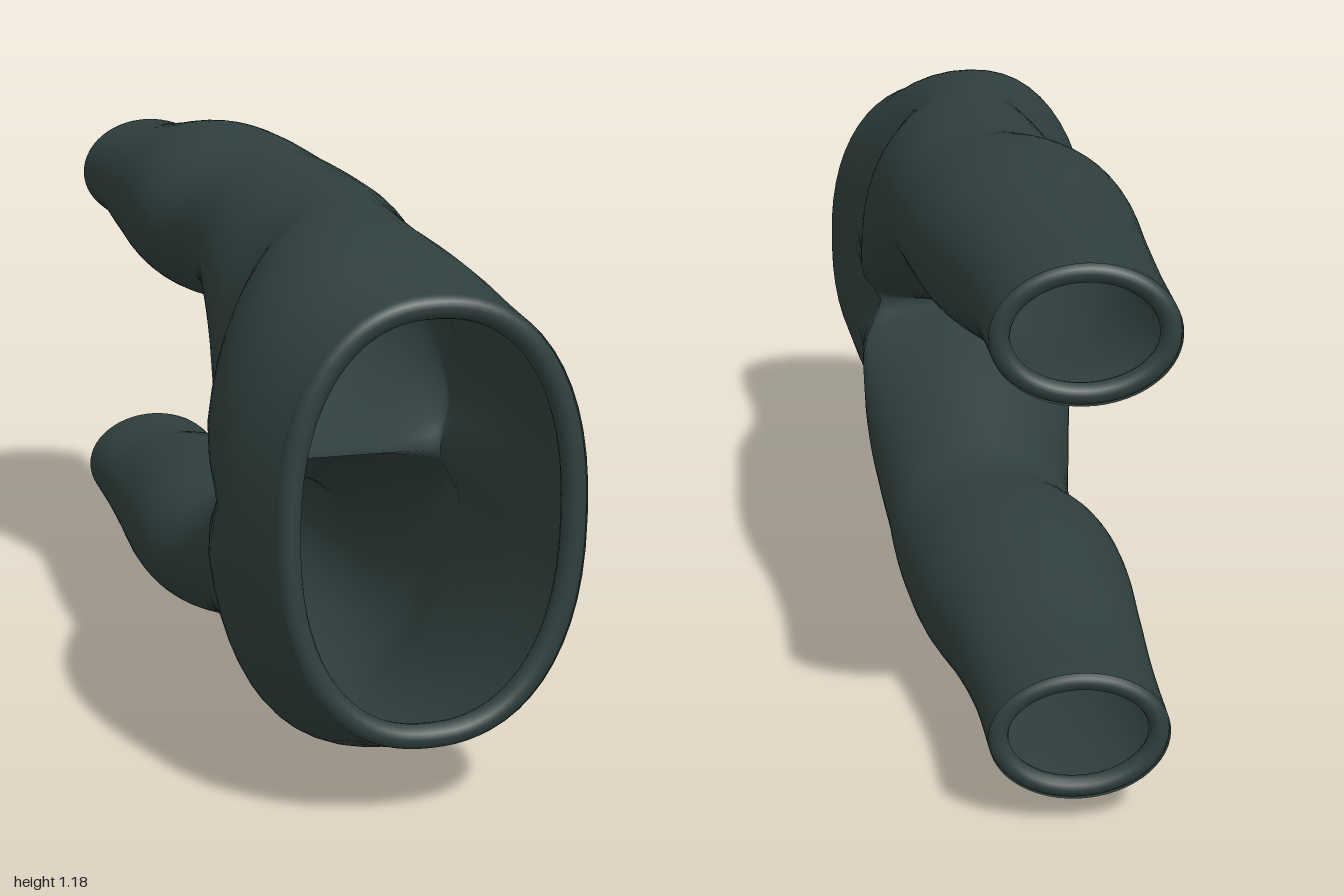
import * as THREE from 'three';
import { mergeVertices } from 'three/addons/utils/BufferGeometryUtils.js';

const MID = 0.59;       // plane between the two legs
const ROWS = 66, SIDES = 56, CROTCH = 17;
const Z_TOP = 0.985, Z_END = -0.995;

// Half sections: z, back x, front x, outer y, inner y, y of greatest width
const sections = [
  [-1.00, -0.265, 0.08, 1.12, 0.855, 0.985],
  [-0.80, -0.265, 0.095, 1.13, 0.85, 0.985],
  [-0.60, -0.27, 0.13, 1.155, 0.81, 0.98],
  [-0.40, -0.275, 0.18, 1.18, 0.778, 0.98],
  [-0.25, -0.26, 0.203, 1.172, 0.78, 0.98],
  [-0.12, -0.208, 0.217, 1.152, 0.79, 0.97],
  [0.00, -0.195, 0.225, 1.147, 0.75, 0.95],
  [0.15, -0.21, 0.243, 1.142, 0.69, 0.90],
  [0.30, -0.23, 0.263, 1.137, 0.635, 0.80],
  [0.42, -0.25, 0.267, 1.13, 0.60, 0.66],
  [0.49, -0.27, 0.27, 1.127, 0.59, 0.59],
  [0.60, -0.312, 0.272, 1.12, 0.59, 0.59],
  [0.72, -0.332, 0.283, 1.106, 0.59, 0.59],
  [0.82, -0.324, 0.302, 1.08, 0.59, 0.59],
  [0.91, -0.295, 0.317, 1.045, 0.59, 0.59],
  [1.00, -0.26, 0.33, 1.015, 0.59, 0.59],
];
const spline = new THREE.CubicInterpolant(
  sections.map((s) => s[0]), sections.flatMap((s) => s.slice(1)), 5);

// Point on the upper half section at height z; the inner side is flat above the crotch
function sectionPoint(z, angle, inset = 0, flat = false) {
  const [x0, x1, outer, inner, wide] = spline.evaluate(z);
  const power = 1 - 0.13 * THREE.MathUtils.smoothstep(z, 0.3, 0.9);
  const bend = (v) => Math.sign(v) * Math.abs(v) ** power;
  const c = bend(Math.cos(angle)), s = bend(Math.sin(angle));
  const yc = flat ? MID : Math.max(MID, wide);
  const yIn = flat ? MID : Math.max(MID, inner);
  const y = s >= 0 ? yc + (outer - inset - yc) * s : yc + Math.max(0, yc - yIn - inset) * s;
  // cleft running into the crotch
  const depth = 0.2 * (1 - THREE.MathUtils.smoothstep(z, 0.45, 0.85));
  const cleft = 1 - depth * Math.exp(-(((y - MID) / 0.06) ** 2));
  const x = (x0 + x1) / 2 + ((x1 - x0) / 2 - inset) * c * cleft;
  return new THREE.Vector3(x, y, z);
}

const mirrored = (p) => new THREE.Vector3(p.x, 2 * MID - p.y, p.z);

// Hips and both legs as one welded, open shell
function shellGeometry() {
  const positions = [], indices = [];
  for (const flip of [false, true]) {
    const base = positions.length / 3;
    for (let i = 0; i <= ROWS; i++) {
      const z = THREE.MathUtils.lerp(Z_TOP, Z_END, i / ROWS);
      for (let j = 0; j < SIDES; j++) {
        const p = sectionPoint(z, (j / SIDES) * Math.PI * 2, 0, i <= CROTCH);
        positions.push(...(flip ? mirrored(p) : p).toArray());
      }
    }
    for (let i = 0; i < ROWS; i++) {
      for (let j = 0; j < SIDES; j++) {
        if (i < CROTCH && j >= SIDES / 2) continue; // hips stay hollow
        const k = (j + 1) % SIDES;
        const a = base + i * SIDES + j, b = base + i * SIDES + k;
        const c = a + SIDES, d = b + SIDES;
        if (flip) indices.push(a, b, c, b, d, c);
        else indices.push(a, c, b, b, c, d);
      }
    }
  }
  let geometry = new THREE.BufferGeometry();
  geometry.setAttribute('position', new THREE.Float32BufferAttribute(positions, 3));
  geometry.setIndex(indices);
  geometry = mergeVertices(geometry, 1e-4);
  geometry.computeVertexNormals();
  return geometry;
}

// Rolled hem along a closed loop of points
function hem(points, radius, material, name) {
  const curve = new THREE.CatmullRomCurve3(points, true);
  const mesh = new THREE.Mesh(new THREE.TubeGeometry(curve, 96, radius, 12, true), material);
  mesh.name = name;
  return mesh;
}

export function createModel() {
  const group = new THREE.Group();
  group.name = 'trousers';
  const cloth = new THREE.MeshStandardMaterial({ color: 0x2f3f3d, side: THREE.DoubleSide });

  const shell = new THREE.Mesh(shellGeometry(), cloth);
  shell.name = 'hipsAndLegs';
  group.add(shell);

  // Waistband: the upper half arc followed by its mirror image
  const r = 0.024, steps = 18;
  const arc = [];
  for (let i = 0; i < steps; i++) {
    arc.push(sectionPoint(1 - r, (i / steps) * Math.PI, r, true));
  }
  const lower = [];
  for (let i = steps; i > 0; i--) {
    lower.push(mirrored(sectionPoint(1 - r, (i / steps) * Math.PI, r, true)));
  }
  group.add(hem([...arc, ...lower], r, cloth, 'waistband'));

  // Ankle cuffs
  const cuffRadius = 0.02, cuff = [];
  for (let i = 0; i < 24; i++) {
    cuff.push(sectionPoint(-1 + cuffRadius, (i / 24) * Math.PI * 2, cuffRadius));
  }
  group.add(hem(cuff, cuffRadius, cloth, 'upperCuff'));
  group.add(hem(cuff.map(mirrored), cuffRadius, cloth, 'lowerCuff'));

  return group;
}
